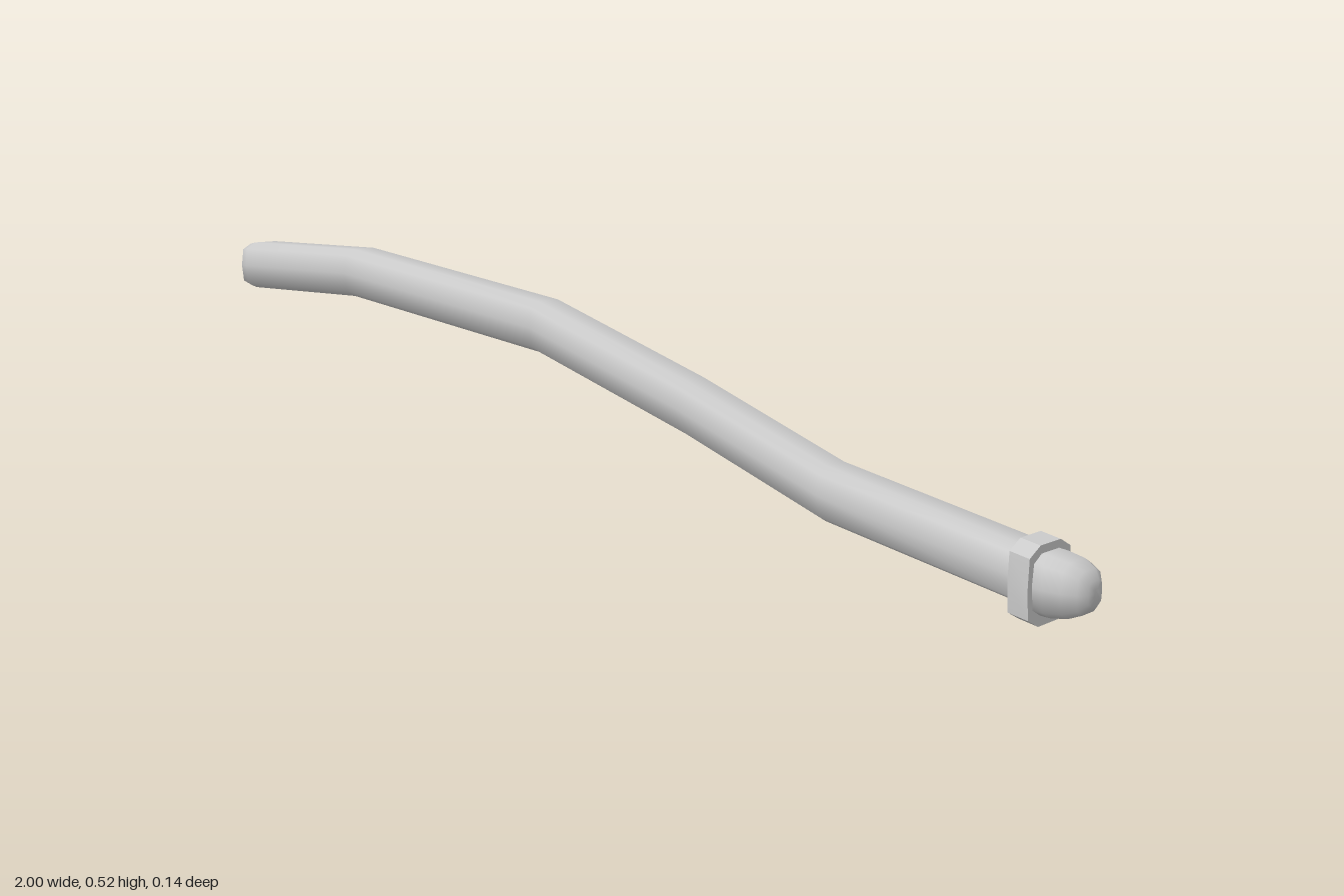
import * as THREE from 'three';
import { toCreasedNormals } from 'three/addons/utils/BufferGeometryUtils.js';

// Ten-sided section as [z, y], running from the top towards +z
function section(flat, side, mid, high, low) {
  const half = [[flat, high], [side, low], [mid, 0], [side, -low], [flat, -high]];
  return [...half, ...half.map(([z, y]) => [-z, -y])];
}

// Closed loft along x; each ring is [x, centre height, scale]
function loft(points, rings, crease) {
  const n = points.length;
  const positions = [];
  const index = [];
  for (const [x, y, s] of rings) {
    for (const [pz, py] of points) positions.push(x, y + py * s, pz * s);
  }
  for (let r = 0; r < rings.length - 1; r++) {
    for (let i = 0; i < n; i++) {
      const a = r * n + i;
      const b = r * n + (i + 1) % n;
      index.push(a, b, b + n, a, b + n, a + n);
    }
  }
  // Flat end faces
  const last = (rings.length - 1) * n;
  for (let i = 1; i < n - 1; i++) {
    index.push(0, i + 1, i);
    index.push(last, last + i, last + i + 1);
  }
  const geometry = new THREE.BufferGeometry();
  geometry.setAttribute('position', new THREE.Float32BufferAttribute(positions, 3));
  geometry.setIndex(index);
  return toCreasedNormals(geometry, crease);
}

export function createModel() {
  const group = new THREE.Group();
  group.name = 'curvedHandle';
  const material = new THREE.MeshStandardMaterial({ color: 0xcccccc });
  const add = (name, geometry) => {
    const mesh = new THREE.Mesh(geometry, material);
    mesh.name = name;
    group.add(mesh);
  };

  const shaftSection = section(0.027, 0.05, 0.055, 0.048, 0.036);
  const collarSection = section(0.033, 0.067, 0.071, 0.066, 0.05);

  // Long bent shaft with a slightly bevelled free end
  add('shaft', loft(shaftSection, [
    [-1, 0.477, 0.8],
    [-0.993, 0.477, 0.93],
    [-0.975, 0.477, 1],
    [-0.665, 0.477, 1],
    [-0.155, 0.402, 1],
    [0.2, 0.282, 1],
    [0.505, 0.163, 1],
    [0.9, 0.076, 1],
  ], 1.1));

  // Angular collar near the lower end
  add('collar', loft(collarSection, [
    [0.882, 0.074, 1],
    [0.918, 0.066, 1],
  ], 0.2));

  // Rounded end cap beyond the collar
  add('endCap', loft(shaftSection, [
    [0.9, 0.07, 1.06],
    [0.935, 0.066, 1.04],
    [0.965, 0.064, 0.94],
    [0.987, 0.062, 0.73],
    [0.998, 0.061, 0.42],
    [1, 0.061, 0.15],
  ], 1.1));

  return group;
}
